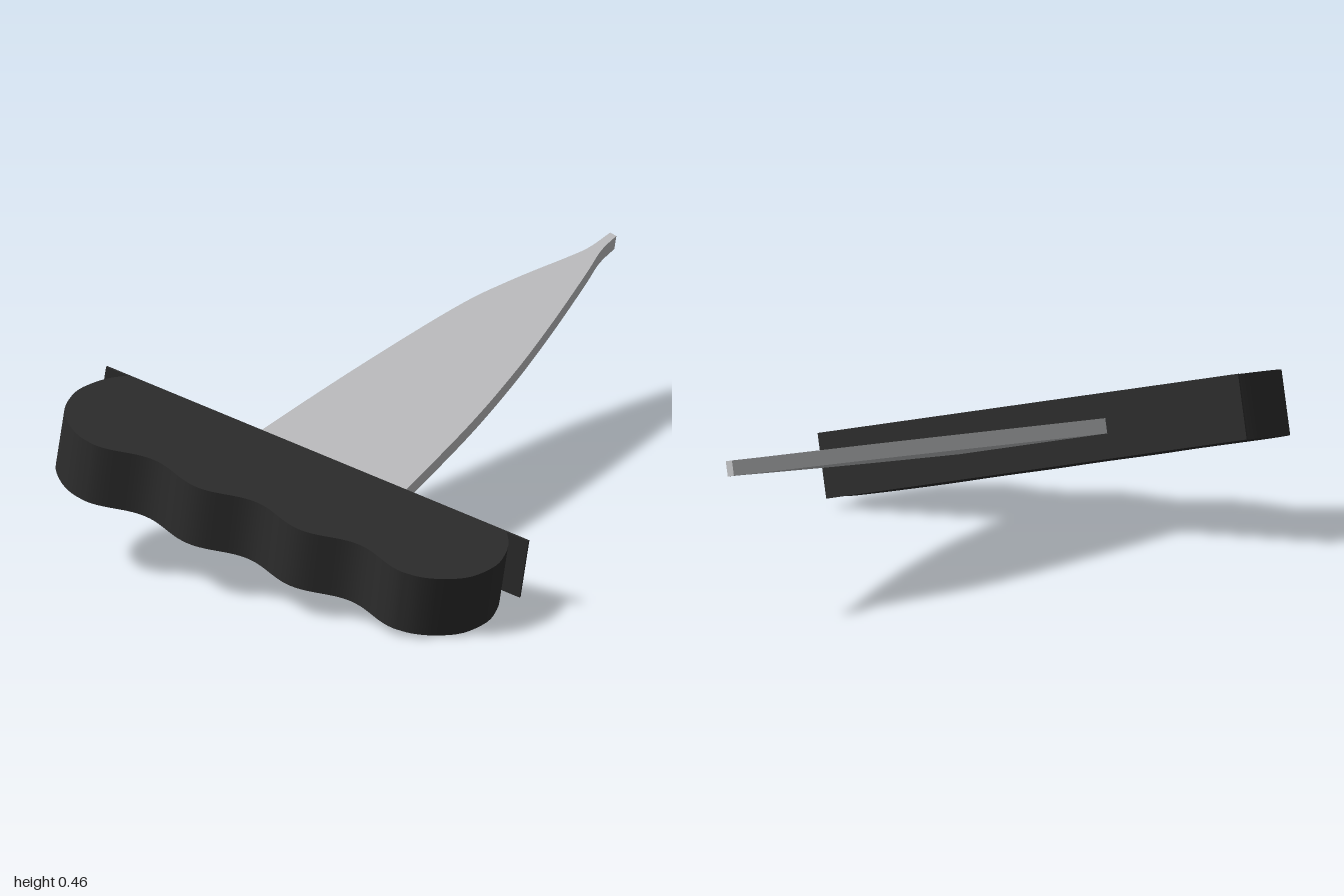
import * as THREE from 'three';
import { toCreasedNormals } from 'three/addons/utils/BufferGeometryUtils.js';

const GRIP_DEPTH = 0.172, BLADE_DEPTH = 0.04;
const points = (list) => list.map(([x, y]) => new THREE.Vector2(x, y));

// Extrudes an outline evenly to both sides of the middle plane
function slab(outline, depth) {
  const geo = new THREE.ExtrudeGeometry(new THREE.Shape(outline), { depth, bevelEnabled: false });
  geo.translate(0, 0, -depth / 2);
  return toCreasedNormals(geo, 0.6);
}

// Grip outline: rounded ends and a wavy back for the fingers
function gripOutline() {
  const end = new THREE.SplineCurve(points([
    [0, 0.57], [-0.045, 0.602], [-0.1, 0.624], [-0.17, 0.635], [-0.26, 0.615],
    [-0.32, 0.568], [-0.355, 0.515], [-0.366, 0.465],
  ])).getPoints(28);
  const wave = [];
  for (let i = 1; i < 60; i++) {
    const y = 0.465 - (0.93 * i) / 60;
    wave.push(new THREE.Vector2(-0.345 + 0.021 * Math.cos((2 * Math.PI * y) / 0.31), y));
  }
  const mirrored = end.map((p) => new THREE.Vector2(p.x, -p.y)).reverse();
  return [...end, ...wave, ...mirrored];
}

// Blade outline: two curved edges meeting in a narrow blunt tip
function bladeOutline() {
  const back = new THREE.SplineCurve(points([
    [0, 0.225], [0.5, 0.191], [0.98, 0.145], [1.2, 0.104], [1.43, 0.043], [1.5, 0.029], [1.597, 0.025],
  ])).getPoints(36);
  const front = new THREE.SplineCurve(points([
    [1.593, 0.004], [1.5, -0.003], [1.37, -0.032], [1.085, -0.09], [0.8, -0.14], [0.47, -0.184], [0, -0.227],
  ])).getPoints(36);
  return [...back, ...front];
}

export function createModel() {
  const black = new THREE.MeshStandardMaterial({ color: 0x2c2c2c });
  black.name = 'matte black';
  const steel = new THREE.MeshStandardMaterial({ color: 0xbfc0c2 });
  steel.name = 'steel';

  const model = new THREE.Group();
  model.name = 'pushDagger';
  const add = (name, geo, material) => {
    const mesh = new THREE.Mesh(geo, material);
    mesh.name = name;
    model.add(mesh);
  };

  add('grip', slab(gripOutline(), GRIP_DEPTH), black);
  add('guard', new THREE.BoxGeometry(0.006, 1.275, GRIP_DEPTH), black);
  add('blade', slab(bladeOutline(), BLADE_DEPTH), steel);

  // Tilted resting pose: local x runs along the blade, y along the grip, z through the thickness
  const along = new THREE.Vector3(-0.318, 0.209, -0.925).normalize();
  const up = new THREE.Vector3(-0.035, 0.975, 0.22);
  up.addScaledVector(along, -up.dot(along)).normalize();
  const out = new THREE.Vector3().crossVectors(along, up);
  model.applyMatrix4(new THREE.Matrix4().makeBasis(out, along, up).setPosition(-0.505, 0.238, -0.03));

  const root = new THREE.Group();
  root.add(model);
  return root;
}
